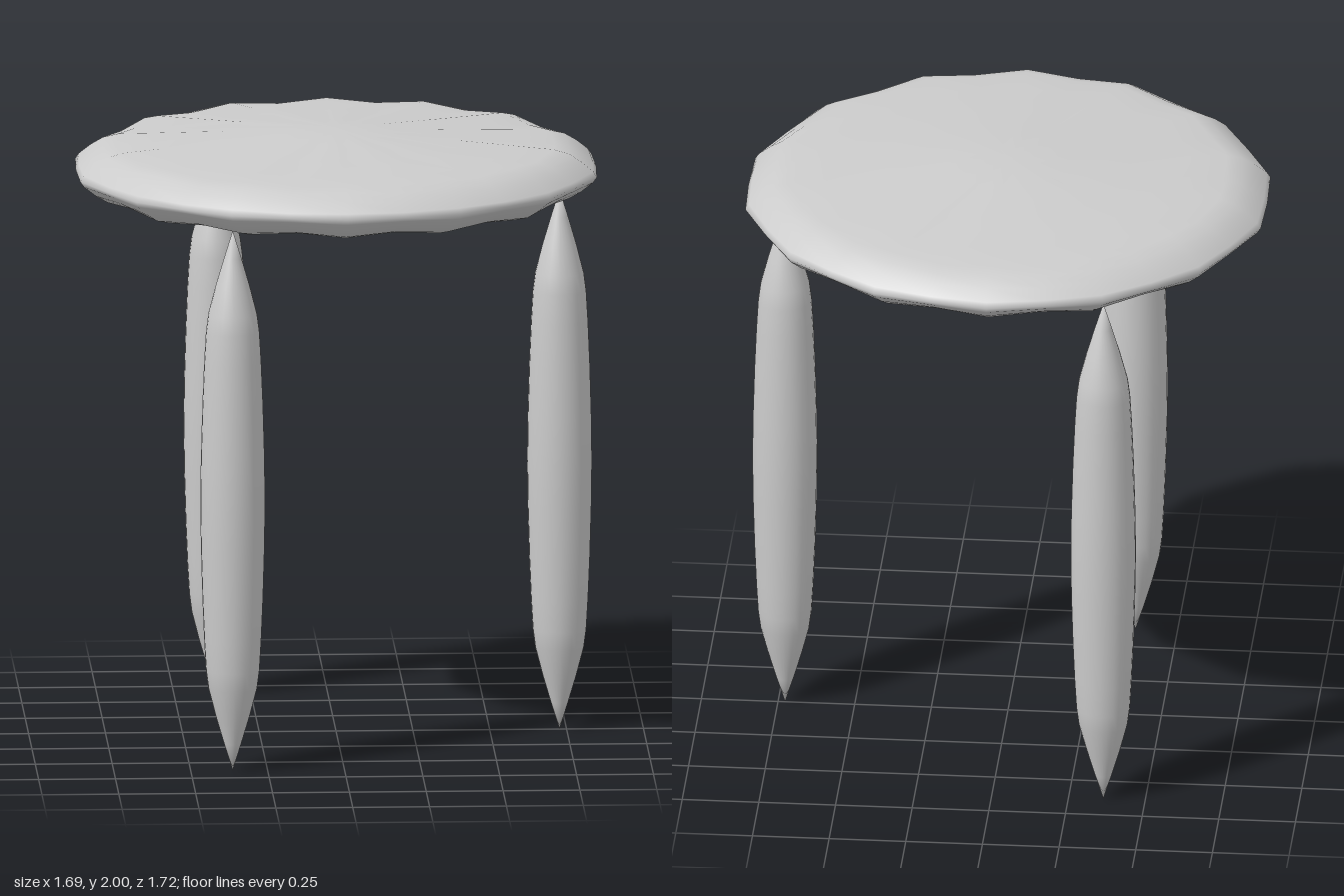
import * as THREE from 'three';
import { mergeVertices } from 'three/addons/utils/BufferGeometryUtils.js';

const SIDES = 14;
const material = new THREE.MeshStandardMaterial({ color: 0xcccccc });

// Round body mirrored above and below its middle; rows are [radius, height] from the middle up.
// Every second column is pulled in a little, giving a softly scalloped outline.
function roundBody(half, pullRadius, pullHeight) {
  const lower = half.slice(1).reverse().map(([r, h]) => new THREE.Vector2(r, -h));
  const upper = half.map(([r, h]) => new THREE.Vector2(r, h));
  const lathe = new THREE.LatheGeometry([...lower, ...upper], SIDES * 2);
  const p = lathe.attributes.position;
  const rMax = half[0][0];
  for (let i = 0; i < p.count; i++) {
    const r = Math.hypot(p.getX(i), p.getZ(i));
    const column = Math.round(Math.atan2(p.getX(i), p.getZ(i)) / (Math.PI / SIDES));
    if (r < 1e-5 || column % 2 === 0) continue;
    const outer = Math.pow(r / rMax, 2);
    const k = 1 - pullRadius * outer;
    const v = 1 - pullHeight * outer;
    p.setXYZ(i, p.getX(i) * k, p.getY(i) * v, p.getZ(i) * k);
  }
  // Weld the seam so the shading runs smoothly all round
  lathe.deleteAttribute('uv');
  lathe.deleteAttribute('normal');
  const body = mergeVertices(lathe, 1e-4);
  body.computeVertexNormals();
  return body;
}

export function createModel() {
  const stool = new THREE.Group();
  stool.name = 'stool';

  // Seat: thin lens with a rounded rim
  const seat = new THREE.Mesh(roundBody([
    [0.862, 0], [0.85, 0.018], [0.81, 0.05], [0.77, 0.074], [0.72, 0.087],
    [0.6, 0.094], [0.4, 0.106], [0.2, 0.119], [0, 0.1325],
  ], 0.018, 0.2), material);
  seat.name = 'seat';
  seat.position.y = 1.8675;
  stool.add(seat);

  // Legs: three spindles pointed at both ends
  const legGeometry = roundBody([
    [0.107, 0], [0.105, 0.15], [0.1, 0.32], [0.094, 0.46], [0.088, 0.56],
    [0.08, 0.62], [0.055, 0.715], [0.028, 0.805], [0, 0.895],
  ], 0.015, 0);
  ['leftLeg', 'frontRightLeg', 'backRightLeg'].forEach((name, i) => {
    const angle = (i * Math.PI * 2) / 3;
    const leg = new THREE.Mesh(legGeometry, material);
    leg.name = name;
    leg.position.set(0.727 * Math.cos(angle), 0.895, 0.727 * Math.sin(angle));
    stool.add(leg);
  });

  return stool;
}
